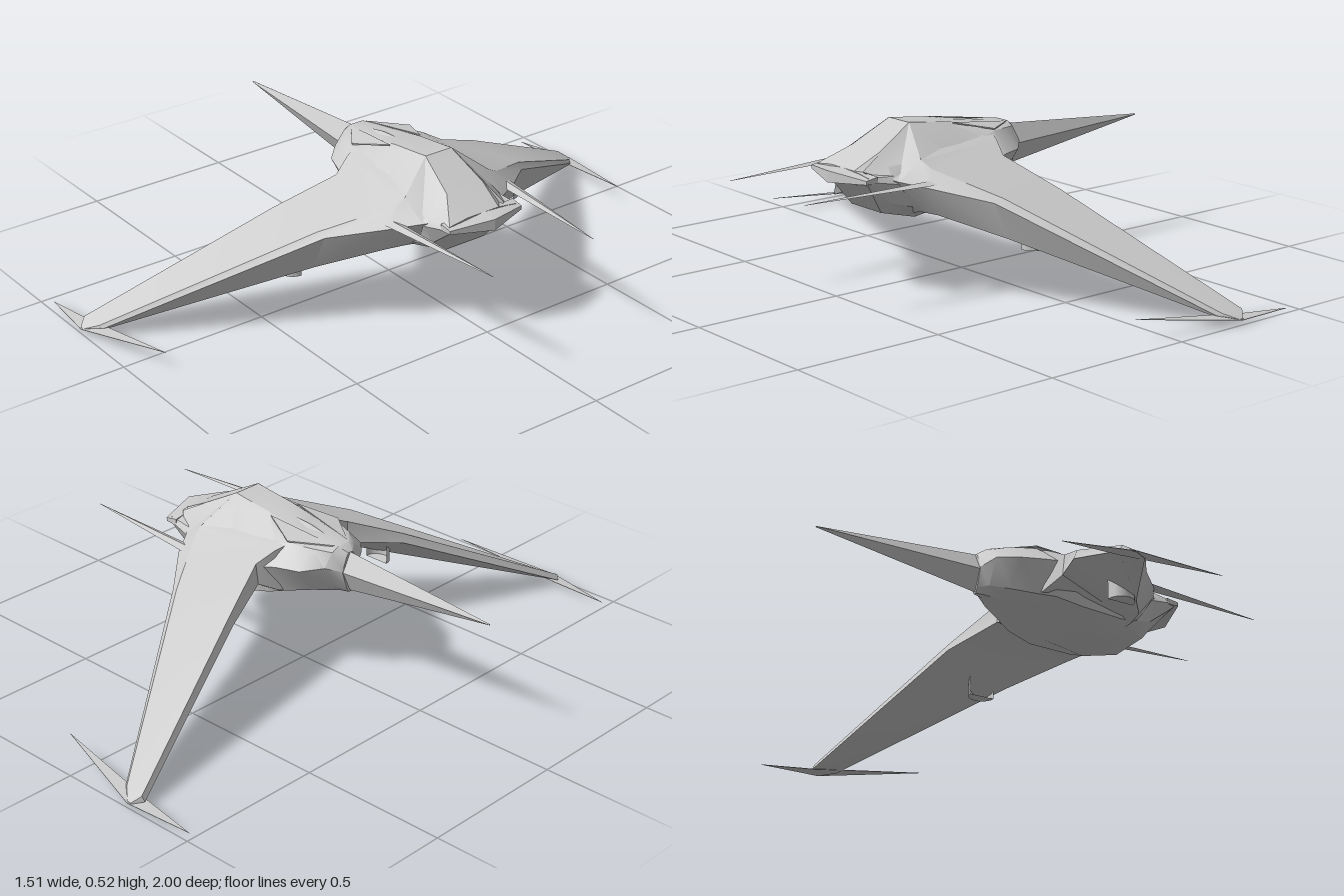
import * as THREE from 'three';
import { toCreasedNormals } from 'three/addons/utils/BufferGeometryUtils.js';

const hullGrey = new THREE.MeshStandardMaterial({ color: 0xcccccc, side: THREE.DoubleSide });
hullGrey.name = 'hullGrey';

// Joins closed cross-sections (arrays of [x, y, z]) into a capped solid facing outwards.
function loft(rings, crease = 0.35) {
  const tris = [];
  const n = rings[0].length;
  for (let r = 0; r < rings.length - 1; r++) {
    for (let i = 0; i < n; i++) {
      const j = (i + 1) % n;
      const [a, b, c, d] = [rings[r][i], rings[r][j], rings[r + 1][j], rings[r + 1][i]];
      tris.push([a, b, c], [a, c, d]);
    }
  }
  const first = rings[0], last = rings[rings.length - 1];
  for (let i = 1; i < n - 1; i++) {
    tris.push([first[0], first[i + 1], first[i]], [last[0], last[i], last[i + 1]]);
  }
  // Signed volume tells whether the corners must be reversed
  const v = (p) => new THREE.Vector3(...p);
  const volume = tris.reduce((s, [a, b, c]) => s + v(a).dot(v(b).cross(v(c))), 0);
  const solid = tris
    .map((t) => (volume < 0 ? [t[0], t[2], t[1]] : t))
    .filter(([a, b, c]) => v(b).sub(v(a)).cross(v(c).sub(v(a))).length() > 1e-9);
  const geo = new THREE.BufferGeometry();
  geo.setAttribute('position', new THREE.Float32BufferAttribute(solid.flat(2), 3));
  return toCreasedNormals(geo, crease);
}

// Thin plate from an outline, given a small thickness in y
function plate(points, thickness) {
  return loft([points, points.map(([x, y, z]) => [x, y + thickness, z])], 0.1);
}

function add(parent, name, geometry) {
  const mesh = new THREE.Mesh(geometry, hullGrey);
  mesh.name = name;
  parent.add(mesh);
}

export function createModel() {
  const model = new THREE.Group();
  model.name = 'swoopingFighter';

  // Fuselage stations: x, then [y, z] for crown, shoulder, side, chine and keel
  const stations = [
    [-0.2, [0.447, 0.008], [0.44, 0.015], [0.39, 0.036], [0.325, 0.015], [0.31, 0.005]],
    [-0.17, [0.465, 0.025], [0.452, 0.05], [0.41, 0.085], [0.33, 0.04], [0.308, 0.012]],
    [-0.115, [0.471, 0.035], [0.46, 0.085], [0.4, 0.142], [0.315, 0.08], [0.298, 0.025]],
    [-0.04, [0.478, 0.045], [0.464, 0.11], [0.4, 0.17], [0.3, 0.12], [0.28, 0.05]],
    [0.01, [0.486, 0.05], [0.45, 0.12], [0.395, 0.195], [0.29, 0.15], [0.265, 0.06]],
    [0.1, [0.503, 0.05], [0.445, 0.13], [0.38, 0.18], [0.27, 0.165], [0.245, 0.07]],
    [0.25, [0.521, 0.05], [0.425, 0.15], [0.36, 0.18], [0.265, 0.16], [0.226, 0.075]],
    [0.38, [0.45, 0.07], [0.388, 0.14], [0.365, 0.152], [0.3, 0.125], [0.26, 0.075]],
    [0.47, [0.403, 0.06], [0.393, 0.13], [0.382, 0.138], [0.37, 0.13], [0.362, 0.07]],
  ];
  add(model, 'fuselage', loft(stations.map(([x, ...half]) => [
    ...half.map(([y, z]) => [x, y, z]),
    ...half.slice().reverse().map(([y, z]) => [x, y, -z]),
  ]), 0.5));

  // Long blade-like boom with a diamond section
  const boom = [[0.45, 0], [0.385, 0.034], [0.312, 0], [0.385, -0.034]];
  add(model, 'boom', loft([
    boom.map(([y, z]) => [-0.76, 0.4 + (y - 0.385) * 0.03, z * 0.1]),
    boom.map(([y, z]) => [-0.18, y, z]),
  ], 0.1));

  // Lip across the blunt end, thickest in the middle
  const lipEnd = (z) => [[0.44, 0.395, z], [0.484, 0.388, z], [0.484, 0.376, z], [0.44, 0.374, z]];
  const lipMiddle = [[0.46, 0.404, 0], [0.526, 0.402, 0], [0.526, 0.365, 0], [0.46, 0.364, 0]];
  add(model, 'endLip', loft([lipEnd(-0.14), lipMiddle, lipEnd(0.14)], 0.2));

  // Low central canopy ridge
  const canopy = [[-0.18, 0.455, 0], [-0.03, 0.472, 0.035], [0.09, 0.495, 0], [-0.03, 0.472, -0.035]];
  add(model, 'canopyRidge', loft([canopy, canopy.map(() => [-0.03, 0.486, 0])], 0.1));

  for (const side of [1, -1]) {
    const half = new THREE.Group();
    half.name = side > 0 ? 'frontSideWing' : 'rearSideWing';
    const flip = (points) => points.map(([x, y, z]) => [x, y, z * side]);

    // Wing sections: leading top, trailing top, trailing edge, trailing bottom, leading bottom
    add(half, 'wing', loft([
      [[-0.06, 0.477, 0.05], [0.25, 0.522, 0.05], [0.46, 0.404, 0.09], [0.27, 0.24, 0.075], [-0.05, 0.3, 0.05]],
      [[-0.02, 0.444, 0.15], [0.295, 0.43, 0.165], [0.375, 0.372, 0.156], [0.29, 0.265, 0.155], [-0.03, 0.305, 0.14]],
      [[0.005, 0.41, 0.21], [0.285, 0.408, 0.205], [0.318, 0.358, 0.245], [0.275, 0.265, 0.22], [0, 0.34, 0.205]],
      [[-0.068, 0.325, 0.4], [0.165, 0.335, 0.4], [0.192, 0.322, 0.39], [0.145, 0.205, 0.4], [-0.078, 0.295, 0.395]],
      [[-0.28, 0.038, 0.97], [-0.205, 0.036, 0.96], [-0.19, 0.03, 0.95], [-0.2, 0.02, 0.96], [-0.288, 0.02, 0.965]],
      [[-0.26, 0.018, 0.995], [-0.25, 0.018, 0.995], [-0.245, 0.017, 0.995], [-0.25, 0.013, 0.995], [-0.26, 0.013, 0.995]],
    ].map(flip), 0.4));

    // Swept fin crossing the wing tip
    add(half, 'tipFin', plate(flip([
      [-0.25, 0.014, 1], [-0.475, 0, 0.968], [-0.28, 0.016, 0.95], [-0.19, 0.028, 0.94], [0.1, 0.064, 0.91],
    ]), 0.0015));

    // Needle projecting from the wing root
    const root = [[0.29, 0.368, 0.25], [0.3, 0.378, 0.225], [0.31, 0.368, 0.2], [0.3, 0.364, 0.225]];
    const tip = root.map(([, y, z]) => [0.75, 0.368 + (y - 0.368) * 0.1, 0.193 + (z - 0.225) * 0.05]);
    add(half, 'rootNeedle', loft([flip(root), flip(tip)], 0.1));

    // Narrow raised panel beside the canopy
    const panel = [[-0.16, 0.462, 0.03], [-0.04, 0.468, 0.115], [0.085, 0.496, 0.06], [-0.02, 0.478, 0.05]];
    add(half, 'shoulderPanel', plate(flip(panel), 0.004));

    // Small half-round pod set into the underside of the wing
    const pod = new THREE.CylinderGeometry(0.045, 0.045, 0.07, 10, 1, false, -Math.PI / 2, Math.PI);
    pod.rotateY(side > 0 ? 0 : Math.PI);
    pod.translate(0.07, 0.207, 0.425 * side);
    add(half, 'underwingPod', pod);

    model.add(half);
  }
  return model;
}
